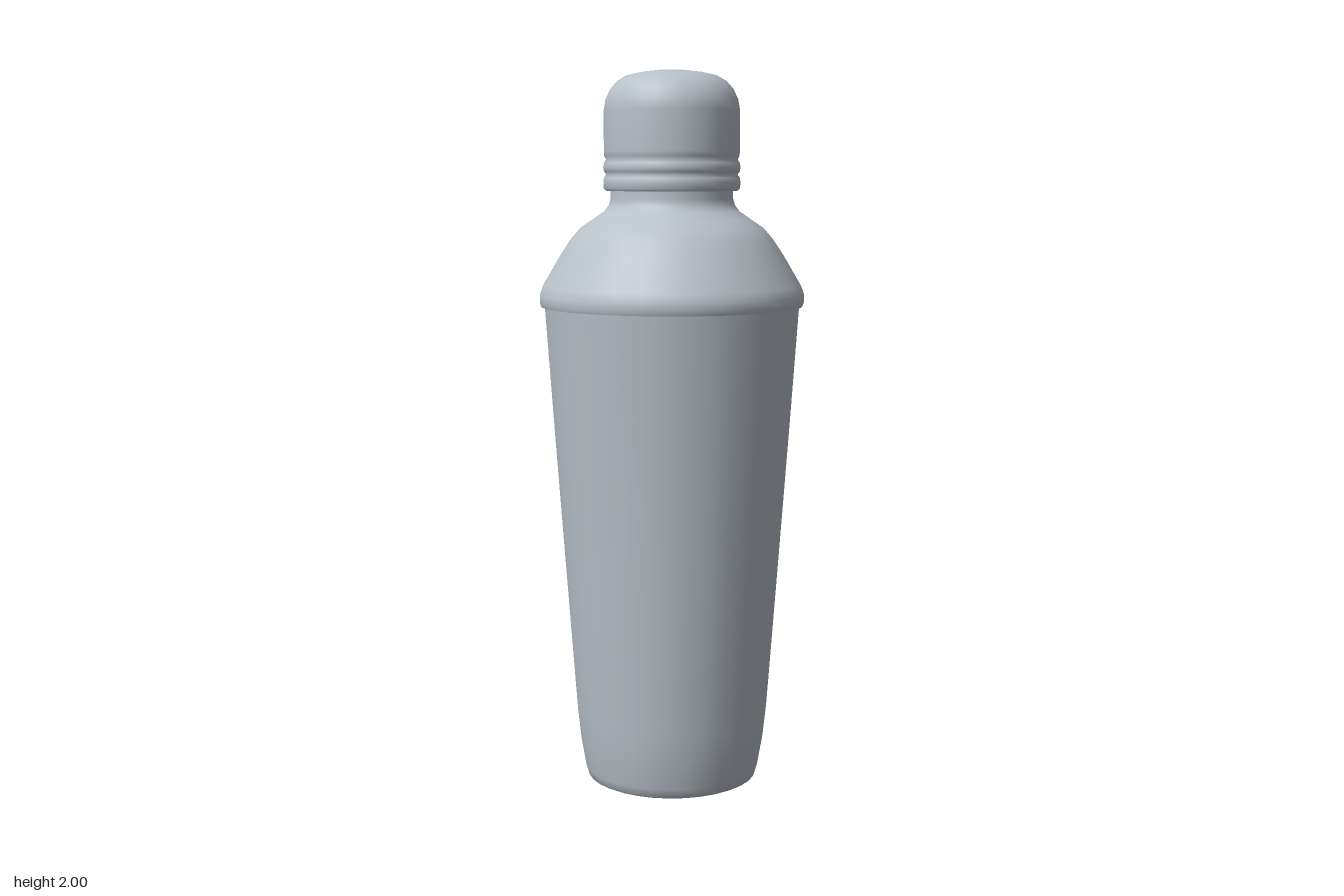
import * as THREE from 'three';

export function createModel() {
  const group = new THREE.Group();
  const steel = new THREE.MeshStandardMaterial({ color: 0xb8c0c8 });
  steel.name = 'brushedSteel';

  // Each part is turned from a [radius, height] profile running bottom to top
  const turn = (name, profile) => {
    const points = profile.map(([r, y]) => new THREE.Vector2(r, y));
    const mesh = new THREE.Mesh(new THREE.LatheGeometry(points, 32), steel);
    mesh.name = name;
    group.add(mesh);
  };

  // Tapered cup with a rounded foot
  turn('base', [[0, 0], [0.23, 0]]);
  turn('cup', [[0.23, 0], [0.24, 0.005], [0.248, 0.03], [0.262, 0.11], [0.272, 0.2],
    [0.3, 0.58], [0.33, 0.99], [0.356, 1.36]]);

  // Shoulder with an overhanging rim, curving in to the neck
  turn('shoulderRimUnderside', [[0.35, 1.353], [0.365, 1.353]]);
  turn('shoulder', [[0.365, 1.353], [0.369, 1.365], [0.369, 1.385], [0.36, 1.41],
    [0.31, 1.495], [0.28, 1.54], [0.254, 1.57], [0.22, 1.593], [0.188, 1.615],
    [0.175, 1.632], [0.17, 1.65], [0.17, 1.7]]);

  // Domed cap with two raised bands at its lower edge
  turn('capUnderside', [[0.165, 1.672], [0.184, 1.672]]);
  turn('cap', [[0.184, 1.672], [0.189, 1.679], [0.19, 1.695], [0.188, 1.708],
    [0.182, 1.716], [0.188, 1.724], [0.19, 1.735], [0.188, 1.748],
    [0.182, 1.757], [0.187, 1.766], [0.188, 1.78], [0.188, 1.89], [0.183, 1.92],
    [0.17, 1.948], [0.151, 1.97], [0.125, 1.985], [0.085, 1.994], [0.045, 1.999], [0, 2]]);

  return group;
}
